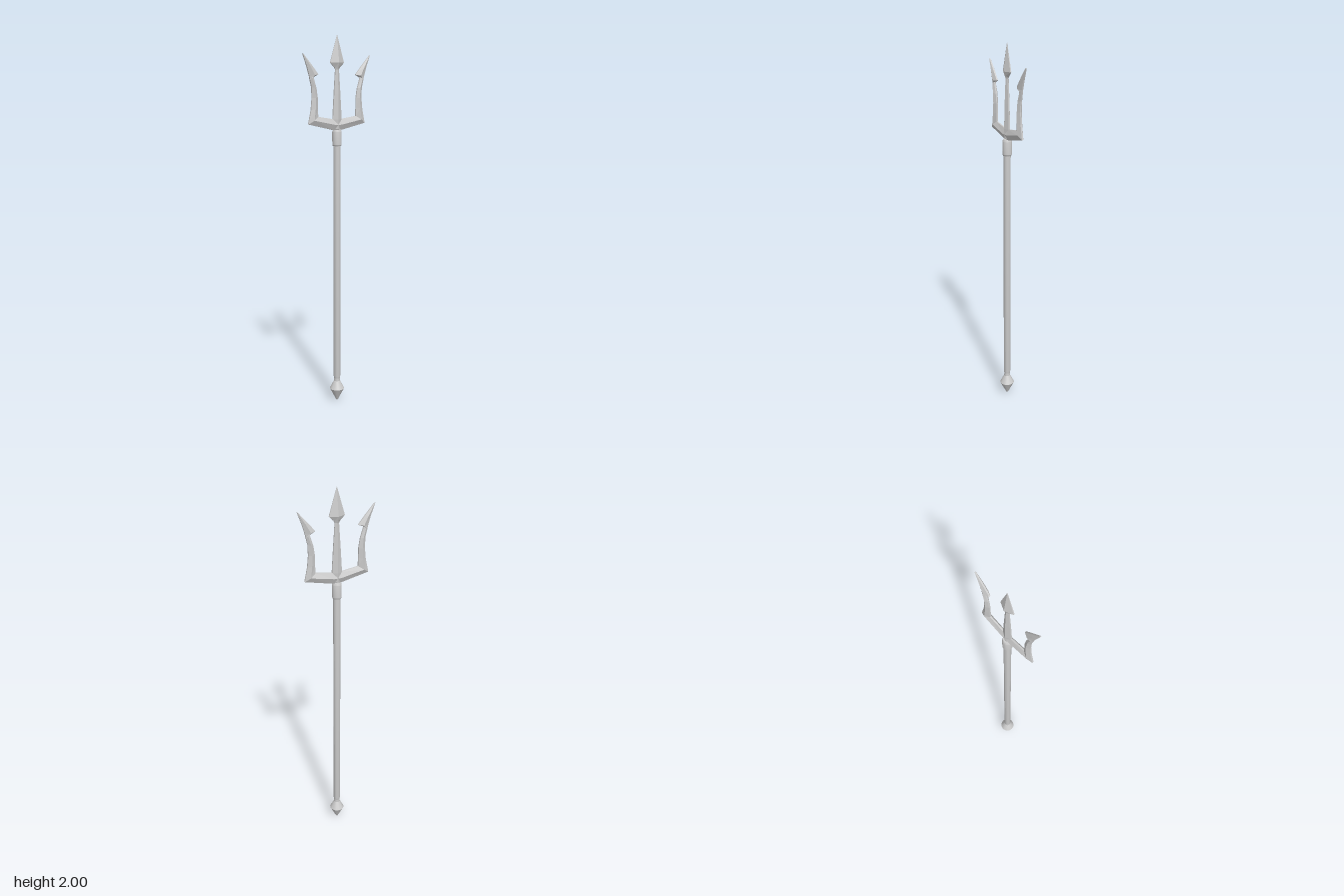
import * as THREE from 'three';
import { toCreasedNormals } from 'three/addons/utils/BufferGeometryUtils.js';

const smooth = new THREE.MeshStandardMaterial({ color: 0xcccccc });
const faceted = new THREE.MeshStandardMaterial({ color: 0xcccccc, flatShading: true });

// Blade loft: each section is [ax, ay, bx, by, ridge, edge], running between
// two edge points with a raised ridge (half depth) midway and blunt edges.
function loftBlade(sections) {
  const pos = [], index = [];
  for (const [ax, ay, bx, by, h, e] of sections) {
    const mx = (ax + bx) / 2, my = (ay + by) / 2;
    pos.push(ax, ay, e, mx, my, h, bx, by, e, bx, by, -e, mx, my, -h, ax, ay, -e);
  }
  const last = (sections.length - 1) * 6;
  for (let s = 0; s < last; s += 6) {
    for (let j = 0; j < 6; j++) {
      const a = s + j, b = s + (j + 1) % 6;
      index.push(a, b, b + 6, a, b + 6, a + 6);
    }
  }
  for (let j = 1; j < 5; j++) {
    index.push(0, j + 1, j, last, last + j, last + j + 1);
  }
  const geometry = new THREE.BufferGeometry();
  geometry.setAttribute('position', new THREE.Float32BufferAttribute(pos, 3));
  geometry.setIndex(index);
  const flat = geometry.toNonIndexed();
  flat.computeVertexNormals();
  return flat;
}

function turned(points) {
  const profile = points.map(([r, y]) => new THREE.Vector2(r, y));
  return toCreasedNormals(new THREE.LatheGeometry(profile, 24), 0.4);
}

export function createModel() {
  const group = new THREE.Group();
  const add = (name, geometry, material) => {
    const mesh = new THREE.Mesh(geometry, material);
    mesh.name = name;
    group.add(mesh);
  };

  // Pole, with a pointed foot and a collar under the fork
  add('shaft', turned([[0, 0.13], [0.016, 0.13], [0.019, 0.145], [0.019, 1.44], [0, 1.44]]), smooth);
  add('pommel', turned([[0, 0], [0.005, 0.002], [0.04, 0.07], [0.017, 0.115], [0.016, 0.135], [0, 0.135]]), smooth);
  add('collar', turned([[0, 1.43], [0.022, 1.43], [0.025, 1.437], [0.025, 1.505], [0.021, 1.515], [0, 1.515]]), smooth);

  // Crossbar and outer prong, from the middle out to the barbed tip
  const half = [
    [0.02, 1.513, 0.02, 1.57, 0.016, 0.004],
    [0.175, 1.547, 0.117, 1.585, 0.016, 0.004],
    [0.159, 1.62, 0.119, 1.63, 0.015, 0.004],
    [0.153, 1.68, 0.119, 1.68, 0.014, 0.004],
    [0.155, 1.735, 0.127, 1.73, 0.013, 0.004],
    [0.165, 1.775, 0.145, 1.788, 0.01, 0.004],
    [0.168, 1.79, 0.115, 1.80, 0.015, 0.004],
    [0.183, 1.84, 0.153, 1.845, 0.011, 0.004],
    [0.206, 1.90, 0.202, 1.90, 0.004, 0.003],
  ];
  const mirrored = half.map(([ax, ay, bx, by, h, e]) => [-ax, ay, -bx, by, h, e]);
  add('fork', loftBlade([...half].reverse().concat(mirrored)), faceted);

  // Central prong and spearhead: [y, half width, ridge, edge]
  const spear = [
    [1.52, 0.02, 0.015, 0.004],
    [1.57, 0.027, 0.017, 0.004],
    [1.70, 0.019, 0.014, 0.004],
    [1.825, 0.011, 0.009, 0.003],
    [1.835, 0.016, 0.012, 0.003],
    [1.86, 0.042, 0.021, 0.003],
    [2.0, 0.001, 0.001, 0.0005],
  ].map(([y, w, h, e]) => [-w, y, w, y, h, e]);
  add('centralProng', loftBlade(spear), faceted);

  return group;
}
